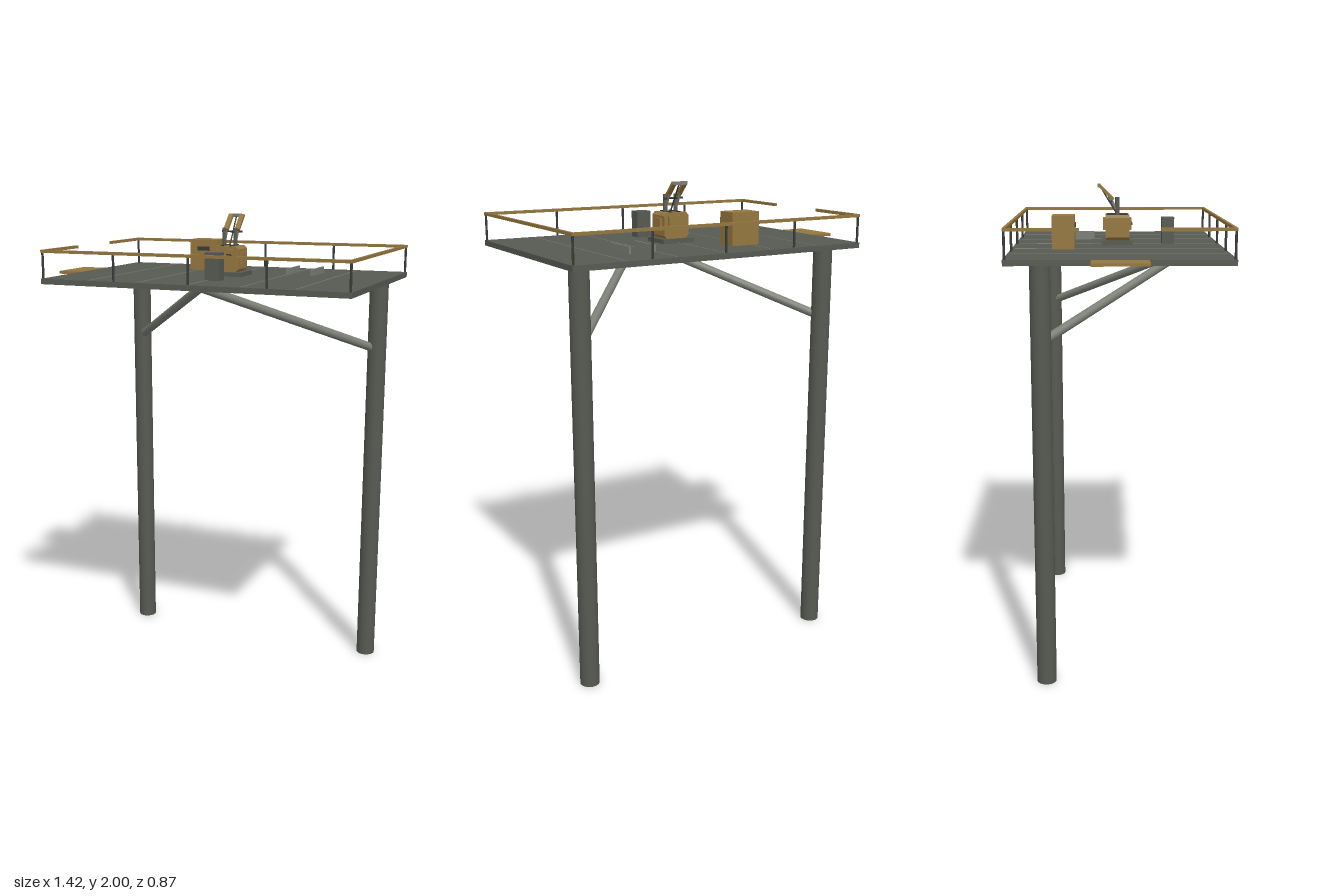
import * as THREE from 'three';

const mat = (name, color) => {
  const m = new THREE.MeshStandardMaterial({ color });
  m.name = name;
  return m;
};

export function createModel() {
  const root = new THREE.Group();
  root.name = 'raisedPlatform';
  const steel = mat('dark steel', 0x565a52);
  const ochre = mat('ochre paint', 0x94773f);
  const grey = mat('light steel', 0x7b7e75);
  const iron = mat('black iron', 0x383b38);

  const add = (parent, name, geo, material, x, y, z) => {
    const m = new THREE.Mesh(geo, material);
    m.name = name;
    m.position.set(x, y, z);
    parent.add(m);
    return m;
  };
  // Box given by its lower and upper corners
  const box = (parent, name, material, a, b) => add(parent, name,
    new THREE.BoxGeometry(b[0] - a[0], b[1] - a[1], b[2] - a[2]), material,
    (a[0] + b[0]) / 2, (a[1] + b[1]) / 2, (a[2] + b[2]) / 2);
  // Round bar between two points
  const bar = (parent, name, material, a, b, r, sides = 16) => {
    const p = new THREE.Vector3(...a), q = new THREE.Vector3(...b);
    const d = q.clone().sub(p), c = p.clone().add(q).multiplyScalar(0.5);
    const m = add(parent, name, new THREE.CylinderGeometry(r, r, d.length(), sides), material, c.x, c.y, c.z);
    m.quaternion.setFromUnitVectors(new THREE.Vector3(0, 1, 0), d.normalize());
    return m;
  };
  const group = name => {
    const g = new THREE.Group();
    g.name = name;
    root.add(g);
    return g;
  };

  // Deck with plate seams and a side landing
  const top = 1.75, cx = 0.053;
  const deck = group('deck');
  box(deck, 'deckSlab', steel, [-0.6, 1.728, -0.435], [0.706, top, 0.435]);
  for (let i = 1; i < 6; i++) {
    const x = -0.6 + i * 0.2177;
    box(deck, 'deckSeam', grey, [x - 0.002, top, -0.42], [x + 0.002, top + 0.002, 0.42]);
  }
  box(deck, 'sideLanding', ochre, [-0.71, 1.738, -0.108], [-0.6, 1.75, 0.108]);

  // Two tall legs with braces meeting under the front of the deck
  const supports = group('supports');
  for (const x of [-0.515, 0.62]) {
    bar(supports, 'leg', steel, [x, 0, -0.302], [x, 1.73, -0.302], 0.04, 32);
    const side = Math.sign(x - cx);
    bar(supports, 'brace', grey, [x - side * 0.02, 1.437, -0.28], [cx, 1.728, 0.305], 0.018);
  }

  // Railing, open beside the landing
  const railing = group('railing');
  const x0 = -0.593, x1 = 0.699, z1 = 0.427, railY = 1.86, t = 0.006;
  for (const z of [-z1, z1]) {
    box(railing, 'longRail', ochre, [x0 - t, railY - t, z - t], [x1 + t, railY + t, z + t]);
    for (let i = 0; i < 5; i++) {
      const x = x0 + (x1 - x0) * i / 4;
      bar(railing, 'railPost', iron, [x, top, z], [x, railY - t, z], 0.005, 8);
    }
    const s = Math.sign(z);
    box(railing, 'shortRail', ochre,
      [x0 - t, railY - t, Math.min(s * 0.15, z)], [x0 + t, railY + t, Math.max(s * 0.15, z)]);
  }
  box(railing, 'endRail', ochre, [x1 - t, railY - t, -z1], [x1 + t, railY + t, z1]);

  // Cabinet with a recessed-looking handle plate
  const cabinet = group('cabinet');
  box(cabinet, 'cabinetBody', ochre, [-0.208, top, -0.268], [-0.08, 1.883, -0.176]);
  box(cabinet, 'cabinetHandle', iron, [-0.172, 1.835, -0.176], [-0.115, 1.853, -0.171]);

  // Console post and the pair of low guide rails
  box(root, 'consolePost', steel, [0.042, top, 0.19], [0.106, 1.86, 0.242]);
  for (const x of [0.272, 0.381])
    box(root, 'guideRail', grey, [x - 0.004, top, -0.258], [x + 0.004, 1.777, -0.098]);

  // Machine: base plate and chamfered body
  const machine = group('machine');
  box(machine, 'basePlate', steel, [-0.02, top, -0.068], [0.126, 1.768, 0.064]);
  const w = 0.058, h = 0.105, c = 0.012;
  const shape = new THREE.Shape([[-w + c, 0], [w - c, 0], [w, c], [w, h - c], [w - c, h],
    [-w + c, h], [-w, h - c], [-w, c]].map(p => new THREE.Vector2(...p)));
  add(machine, 'machineBody', new THREE.ExtrudeGeometry(shape, { depth: 0.1, bevelEnabled: false }),
    ochre, cx, 1.768, -0.05);
  for (const s of [-1, 1]) {
    box(machine, 'sidePanel', ochre,
      [cx + s * 0.061 - 0.005, 1.8, -0.03], [cx + s * 0.061 + 0.005, 1.85, 0.03]);
    box(machine, 'endPanel', ochre,
      [cx - 0.04, 1.81, s * 0.054 - 0.006], [cx + 0.04, 1.86, s * 0.054 + 0.006]);
    box(machine, 'ventSlot', iron,
      [cx + s * 0.02 - 0.012, 1.832, 0.06], [cx + s * 0.02 + 0.012, 1.842, 0.063]);
    box(machine, 'topRib', iron,
      [cx + s * 0.02 - 0.003, 1.873, -0.045], [cx + s * 0.02 + 0.003, 1.877, 0.045]);

    // Upright and tilted arm on each side
    const x = cx + s * 0.025;
    bar(machine, 'upright', steel, [x, 1.87, 0], [x, 1.945, 0], 0.009, 12);
    bar(machine, 'armLink', grey, [x, 1.895, -0.005], [x, 1.95, -0.035], 0.006, 8);
    const arm = add(machine, 'tiltedArm', new THREE.BoxGeometry(0.02, 0.012, 0.085), ochre, x, 1.966, -0.047);
    arm.rotation.x = Math.PI / 4;
  }
  // Bars joining the arms
  bar(machine, 'crossBar', iron, [cx - 0.045, 1.93, -0.024], [cx + 0.045, 1.93, -0.024], 0.004, 8);
  bar(machine, 'centreRod', iron, [cx, 1.873, 0], [cx, 1.99, -0.072], 0.003, 8);
  box(machine, 'topBar', grey, [cx - 0.032, 1.986, -0.083], [cx + 0.032, 2.0, -0.073]);

  return root;
}
